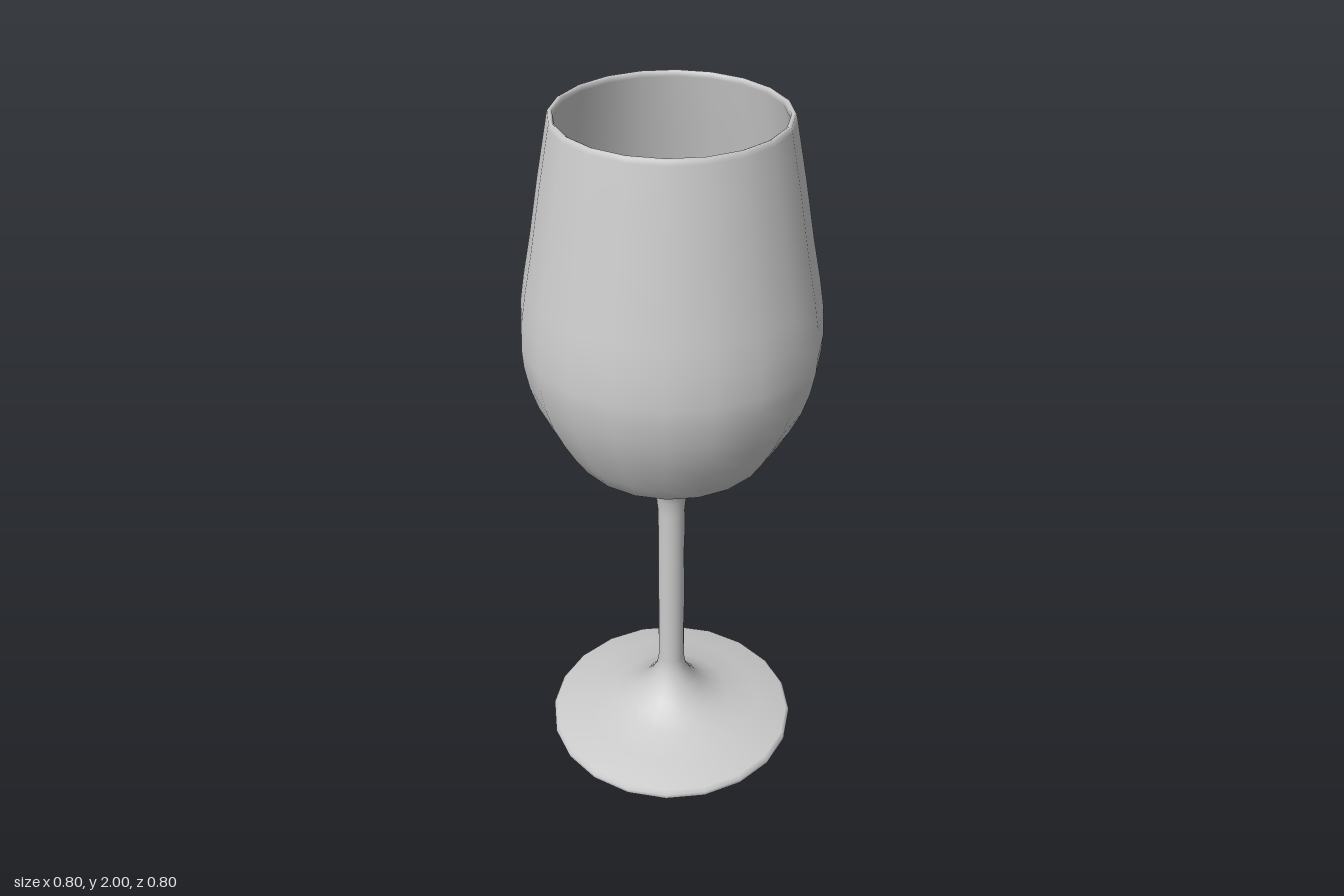
import * as THREE from 'three';

const SIDES = 20;
const material = new THREE.MeshStandardMaterial({ color: 0xcccccc, side: THREE.DoubleSide });

// Revolve a [radius, height] profile around the y axis
function turned(name, profile) {
  const points = profile.map(([r, y]) => new THREE.Vector2(r, y));
  const mesh = new THREE.Mesh(new THREE.LatheGeometry(points, SIDES), material);
  mesh.name = name;
  return mesh;
}

export function createModel() {
  const group = new THREE.Group();
  group.name = 'wineGlass';

  // One continuous skin: slightly hollow foot, stem, bowl, rim, bowl interior
  group.add(turned('glass', [
    // underside and edge of the foot
    [0, 0.025], [0.12, 0.018], [0.26, 0.008], [0.355, 0], [0.368, 0.005],
    [0.375, 0.014], [0.375, 0.027], [0.365, 0.037],
    // flare up to the stem
    [0.27, 0.06], [0.18, 0.083], [0.13, 0.108], [0.095, 0.135], [0.065, 0.17],
    [0.045, 0.21], [0.039, 0.25],
    // stem
    [0.039, 0.4], [0.039, 0.65], [0.039, 0.81],
    // flare into the bowl
    [0.044, 0.86], [0.055, 0.9], [0.08, 0.935], [0.12, 0.965],
    // bowl outside
    [0.2, 1.005], [0.27, 1.045], [0.305, 1.1], [0.335, 1.155], [0.365, 1.22], [0.385, 1.285],
    [0.397, 1.35], [0.4, 1.4], [0.395, 1.48], [0.382, 1.56], [0.36, 1.67],
    [0.332, 1.83], [0.302, 1.985],
    // rim
    [0.299, 1.997], [0.293, 2], [0.287, 1.997], [0.285, 1.985],
    // bowl inside
    [0.315, 1.83], [0.343, 1.67], [0.365, 1.56], [0.378, 1.48], [0.383, 1.4],
    [0.38, 1.35], [0.368, 1.285], [0.348, 1.225], [0.318, 1.165], [0.28, 1.105],
    [0.24, 1.06], [0.18, 1.025], [0.1, 0.99], [0.05, 0.978], [0, 0.975],
  ]));
  return group;
}
